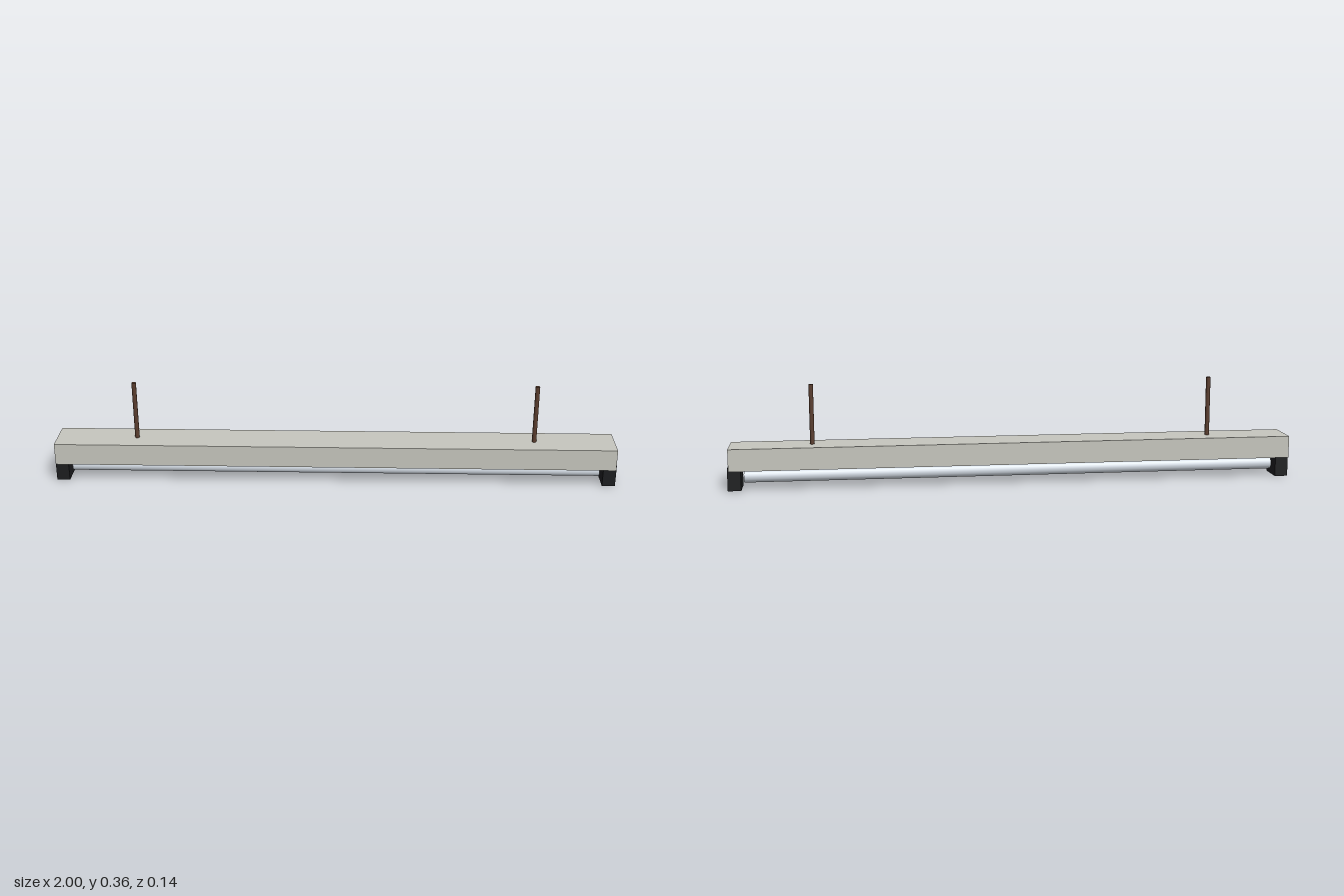
import * as THREE from 'three';

export function createModel() {
  const model = new THREE.Group();
  const paint = (color) => new THREE.MeshStandardMaterial({ color });
  const housingMat = paint(0xc6c6be);
  const socketMat = paint(0x1c1d1f);
  const tubeMat = paint(0xd3dbe4);
  const rodMat = paint(0x5a3d2e);

  const add = (name, geometry, material, x, y, z = 0) => {
    const mesh = new THREE.Mesh(geometry, material);
    mesh.name = name;
    mesh.position.set(x, y, z);
    model.add(mesh);
    return mesh;
  };

  // Long box housing
  add('housing', new THREE.BoxGeometry(1.988, 0.078, 0.14), housingMat, 0, 0.112);

  // Lamp tube hanging just below the housing
  const tube = add('lampTube', new THREE.CylinderGeometry(0.0225, 0.0225, 1.892, 20), tubeMat, 0, 0.042);
  tube.rotation.z = Math.PI / 2;

  // Mirrored end sockets and hanging rods
  const socketGeometry = new THREE.BoxGeometry(0.046, 0.08, 0.094);
  const rodGeometry = new THREE.CylinderGeometry(0.008, 0.008, 0.222, 10);
  for (const [side, s] of [['left', 1], ['right', -1]]) {
    add(side + 'Socket', socketGeometry, socketMat, s * 0.977, 0.04);
    add(side + 'Rod', rodGeometry, rodMat, s * 0.708, 0.251);
  }

  return model;
}
